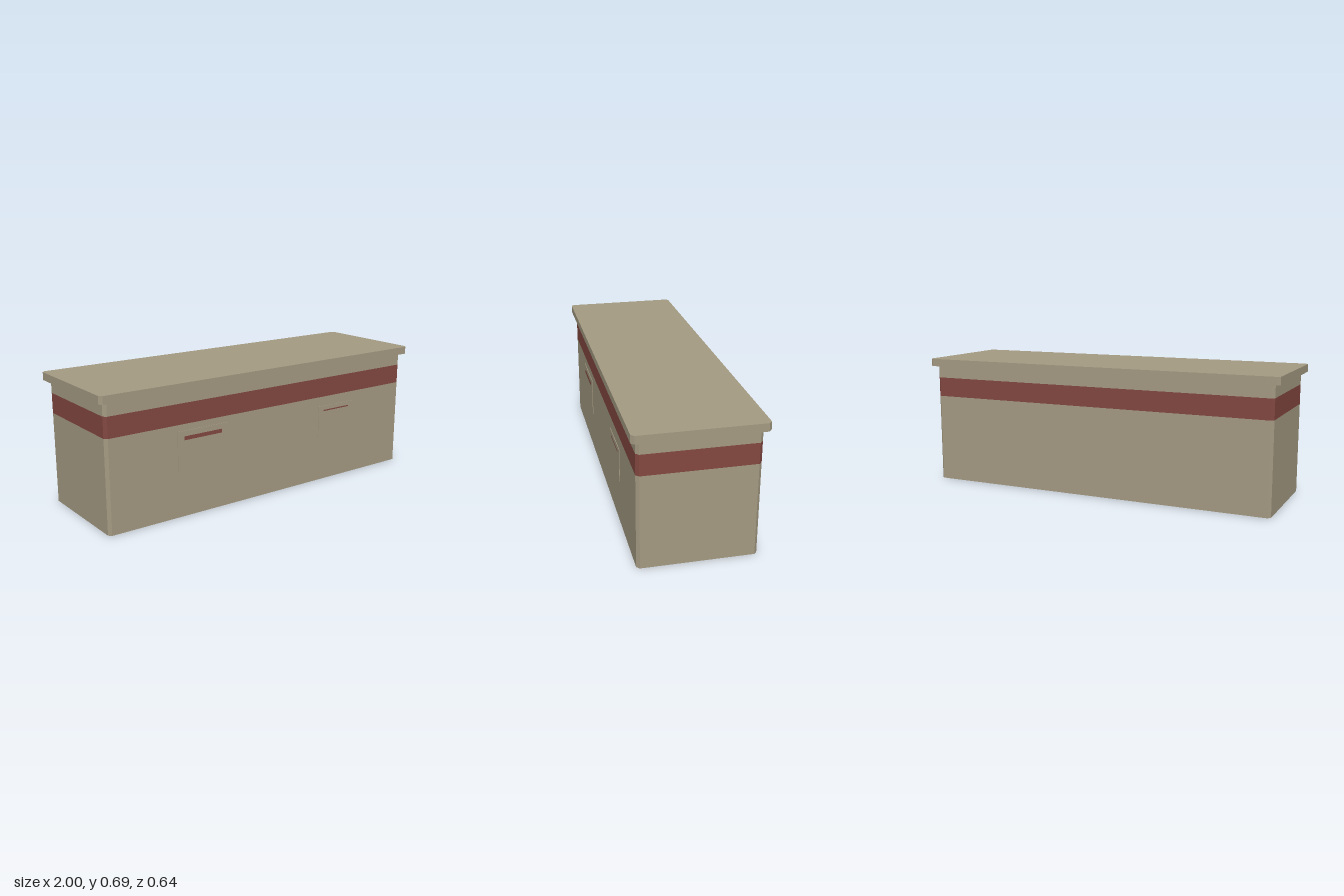
import * as THREE from 'three';

const olive = new THREE.MeshStandardMaterial({ color: 0xa49a82 });
olive.name = 'olive';
const red = new THREE.MeshStandardMaterial({ color: 0x834740 });
red.name = 'dull red';
const black = new THREE.MeshStandardMaterial({ color: 0x363636 });
black.name = 'black';

function addMesh(group, name, geometry, material) {
  const mesh = new THREE.Mesh(geometry, material);
  mesh.name = name;
  group.add(mesh);
  return mesh;
}

// Upright prism with chamfered corners, half sizes hx and hz, from y0 to y1
function prism(hx, hz, chamfer, y0, y1) {
  const a = hx - chamfer, b = hz - chamfer;
  const outline = [[a, -hz], [hx, -b], [hx, b], [a, hz], [-a, hz], [-hx, b], [-hx, -b], [-a, -hz]];
  const shape = new THREE.Shape(outline.map(([x, y]) => new THREE.Vector2(x, y)));
  const geometry = new THREE.ExtrudeGeometry(shape, { depth: y1 - y0, bevelEnabled: false });
  return geometry.rotateX(-Math.PI / 2).translate(0, y0, 0);
}

// Flat polygon facing down, given as [x, z] points
function undersidePatch(points, y) {
  const shape = new THREE.Shape(points.map(([x, z]) => new THREE.Vector2(x, z)));
  return new THREE.ShapeGeometry(shape).rotateX(Math.PI / 2).translate(0, y, 0);
}

export function createModel() {
  const model = new THREE.Group();
  model.name = 'counter';

  // Body in three flush layers, and the overhanging top
  const hx = 0.97, hz = 0.292, chamfer = 0.015;
  addMesh(model, 'lowerBody', prism(hx, hz, chamfer, 0.001, 0.482), olive);
  addMesh(model, 'redBand', prism(hx, hz, chamfer, 0.482, 0.588), red);
  addMesh(model, 'upperBody', prism(hx, hz, chamfer, 0.588, 0.654), olive);
  addMesh(model, 'counterTop', prism(1, 0.318, chamfer, 0.654, 0.695), olive);

  // Thin panels just off the front, each with a red slot:
  // [side, x, width, y0, y1, slot width, slot y0, slot y1]
  const panels = [
    ['right', -0.433, 0.3, 0.24, 0.45, 0.225, 0.402, 0.422],
    ['left', 0.461, 0.255, 0.255, 0.43, 0.185, 0.401, 0.408],
  ];
  for (const [side, x, width, y0, y1, slotWidth, s0, s1] of panels) {
    const panel = new THREE.Group();
    panel.name = side + 'FrontPanel';
    const plate = addMesh(panel, side + 'Plate', new THREE.BoxGeometry(width, y1 - y0, 0.003), olive);
    plate.position.set(x, (y0 + y1) / 2, hz + 0.0065);
    const slot = addMesh(panel, side + 'Slot', new THREE.PlaneGeometry(slotWidth, s1 - s0), red);
    slot.position.set(x, (s0 + s1) / 2, hz + 0.009);
    model.add(panel);
  }

  // Painted areas on the underside
  const strip = [[-hx, -0.24], [hx, -0.24], [hx, -0.135], [-hx, -0.135]];
  addMesh(model, 'undersideStripe', undersidePatch(strip, 0), red);
  const wedge = [[-hx, 0.04], [0.91, hz], [-hx + chamfer, hz], [-hx, hz - chamfer]];
  addMesh(model, 'undersideDarkArea', undersidePatch(wedge, 0), black);

  return model;
}
